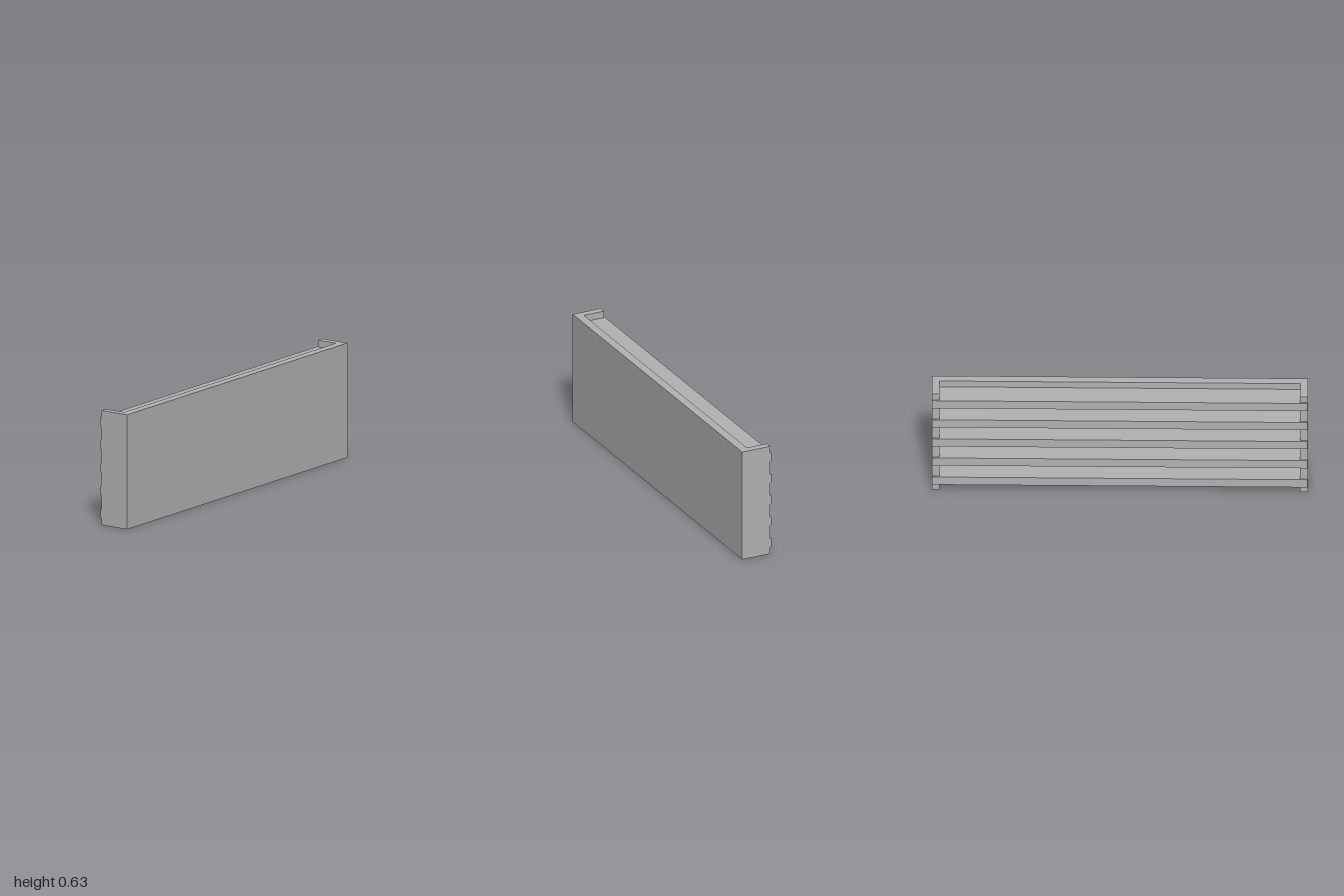
import * as THREE from 'three';

export function createModel() {
  const group = new THREE.Group();
  const grey = new THREE.MeshStandardMaterial({ color: 0xb2b2b2 });
  grey.name = 'plain grey';

  const height = 0.627, front = 0.087, rim = -0.079, inner = 0.04, innerX = 0.96;

  // U-shaped casing: front panel with two side walls, drawn in plan (x, -z)
  const plan = new THREE.Shape([
    [-1, -front], [1, -front], [1, -rim], [innerX, -rim],
    [innerX, -inner], [-innerX, -inner], [-innerX, -rim], [-1, -rim],
  ].map(([x, y]) => new THREE.Vector2(x, y)));
  const casingGeometry = new THREE.ExtrudeGeometry(plan, { depth: height, bevelEnabled: false });
  casingGeometry.rotateX(-Math.PI / 2);
  const casing = new THREE.Mesh(casingGeometry, grey);
  casing.name = 'casing';
  group.add(casing);

  // Box spanning z0 to z1, centred on x
  const bar = (name, width, y, z0, z1) => {
    const mesh = new THREE.Mesh(new THREE.BoxGeometry(width, 0.05, z1 - z0), grey);
    mesh.position.set(0, y, (z0 + z1) / 2);
    mesh.name = name;
    return mesh;
  };

  // Five boards between the walls, each with a lip lapping over the wall edges
  for (let i = 0; i < 5; i++) {
    const y = height / 2 + (i - 2) * 0.1253;
    const slat = new THREE.Group();
    slat.name = `slat${i + 1}`;
    slat.add(
      bar('slatBoard', innerX * 2, y, rim, inner),
      bar('slatLip', 2, y, -front, rim),
    );
    group.add(slat);
  }
  return group;
}
